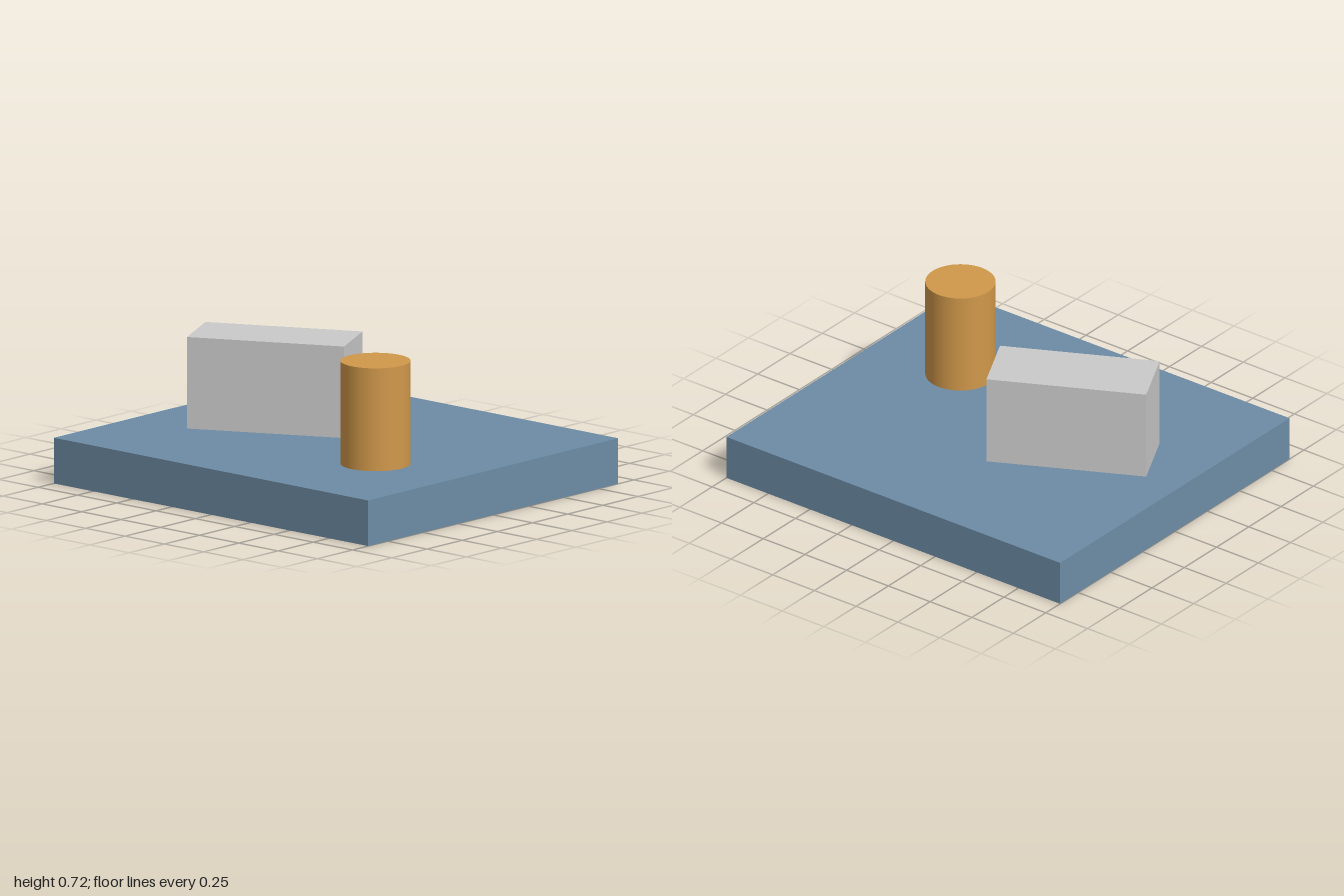
import * as THREE from 'three';

function material(name, color) {
  const m = new THREE.MeshStandardMaterial({ color });
  m.name = name;
  return m;
}

export function createModel() {
  const group = new THREE.Group();
  const baseTop = 0.222;

  // Adds a part whose underside rests at the given height
  const add = (name, geometry, mat, x, bottom, z, height) => {
    const mesh = new THREE.Mesh(geometry, mat);
    mesh.name = name;
    mesh.position.set(x, bottom + height / 2, z);
    group.add(mesh);
    return mesh;
  };

  // Base slab
  add('baseSlab', new THREE.BoxGeometry(2, baseTop, 1.778),
    material('slateBlue', 0x6d8ca5), 0, 0, 0, baseTop);

  // Upright block, turned on the slab
  const block = add('block', new THREE.BoxGeometry(0.772, 0.445, 0.333),
    material('lightGrey', 0xcacaca), -0.39, baseTop, 0, 0.445);
  block.rotation.y = 0.4636;

  // Round post
  add('post', new THREE.CylinderGeometry(0.167, 0.167, 0.5, 48),
    material('ochre', 0xd0984a), 0.5, baseTop, 0.278, 0.5);

  return group;
}
